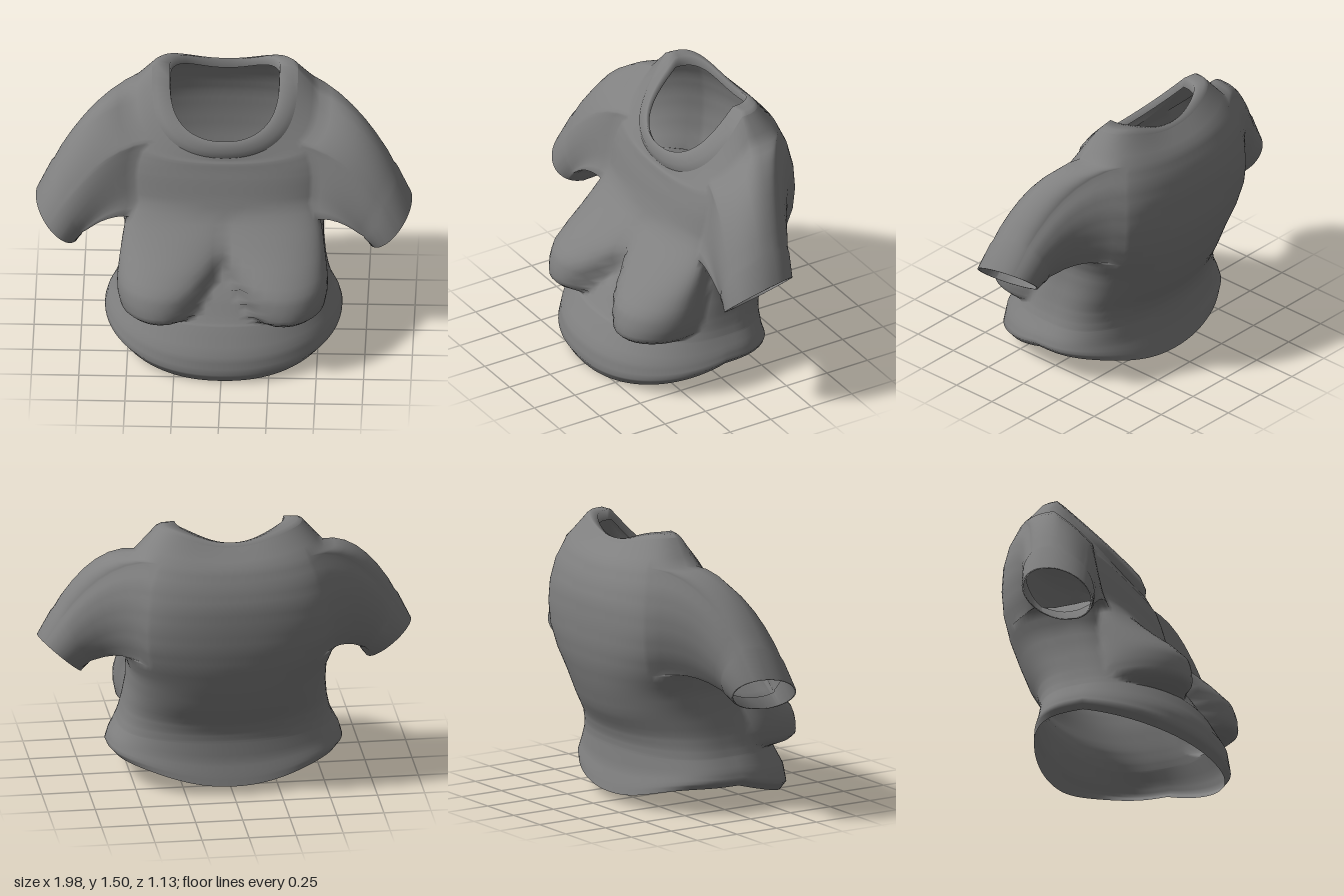
import * as THREE from 'three';
import { mergeGeometries, mergeVertices } from 'three/addons/utils/BufferGeometryUtils.js';

const N = 96;        // columns round the torso, column 0 at the front
const SIDE = N / 4;  // column at the left side
const SUB = 3;       // rows per profile step
const HOLE = { r0: 9 * SUB, r1: 14 * SUB, half: 10 }; // armhole, in rows and columns

// Grid surface through closed rows of points; flip reverses the corner order
function grid(rows, { skip = () => false, flip = false } = {}) {
  const n = rows[0].length, index = [];
  for (let r = 0; r < rows.length - 1; r++) {
    for (let c = 0; c < n; c++) {
      if (skip(r, c)) continue;
      const a = r * n + c, b = r * n + (c + 1) % n, d = a + n, e = b + n;
      if (flip) index.push(a, e, b, a, d, e);
      else index.push(a, b, e, a, e, d);
    }
  }
  const g = new THREE.BufferGeometry().setFromPoints(rows.flat());
  g.setIndex(index);
  return g;
}

function weld(parts) {
  const g = mergeVertices(mergeGeometries(parts), 1e-4);
  g.computeVertexNormals();
  return g;
}

const mirror = rows => rows.map(row => row.map(p => new THREE.Vector3(-p.x, p.y, p.z)));
const mix = (a, b, t) => a.map((v, i) => v + (b[i] - v) * t);

// Ring whose front, side and back each have their own height and depth
function ring([X, ySide, zSide, yFront, zFront, yBack, zBack, frontPower, backPower]) {
  return Array.from({ length: N }, (_, i) => {
    const a = i / N * Math.PI * 2, s = Math.sin(a), c = Math.cos(a);
    const k = Math.abs(c) < 1e-9 ? 0 : Math.abs(c), w = Math.abs(s) < 1e-9 ? 0 : Math.abs(s);
    const x = X * Math.sign(s) * Math.pow(w, 0.92);
    const f = Math.pow(k, frontPower);
    return c > 0
      ? new THREE.Vector3(x, ySide + (yFront - ySide) * f, zSide + (zFront - zSide) * f)
      : new THREE.Vector3(x, ySide + (yBack - ySide) * k ** 4, zSide + (zBack - zSide) * Math.pow(k, backPower));
  });
}

// half width, side y z, front y z, back y z, roundness of front and back
const torsoProfile = [
  [0.59, 0.145, 0.03, 0.00, 0.535, 0.05, -0.40, 1.0, 0.7],
  [0.625, 0.18, 0.04, 0.05, 0.565, 0.10, -0.39, 1.0, 0.7],
  [0.61, 0.23, 0.03, 0.15, 0.55, 0.18, -0.37, 1.0, 0.7],
  [0.575, 0.295, 0.02, 0.29, 0.47, 0.28, -0.365, 0.95, 0.7],
  [0.57, 0.305, 0.015, 0.305, 0.455, 0.30, -0.365, 0.9, 0.7],
  [0.555, 0.35, 0.01, 0.34, 0.43, 0.34, -0.37, 0.85, 0.7],
  [0.54, 0.42, 0.00, 0.41, 0.385, 0.40, -0.39, 0.80, 0.7],
  [0.525, 0.54, -0.03, 0.52, 0.30, 0.50, -0.45, 0.75, 0.65],
  [0.525, 0.66, -0.06, 0.64, 0.24, 0.63, -0.50, 0.70, 0.6],
  [0.56, 0.77, -0.08, 0.76, 0.19, 0.76, -0.54, 0.60, 0.55],
  [0.58, 0.88, -0.11, 0.88, 0.15, 0.88, -0.56, 0.52, 0.5],
  [0.585, 1.00, -0.13, 0.98, 0.125, 1.00, -0.565, 0.50, 0.48],
  [0.575, 1.12, -0.14, 1.03, 0.11, 1.12, -0.56, 0.52, 0.5],
  [0.55, 1.24, -0.16, 1.07, 0.10, 1.22, -0.535, 0.57, 0.55],
  [0.50, 1.345, -0.18, 1.085, 0.09, 1.32, -0.49, 0.60, 0.6],
  [0.385, 1.48, -0.20, 1.10, 0.085, 1.41, -0.40, 0.62, 0.7],
];

const collarProfile = [
  [0.385, 1.48, -0.20, 1.10, 0.085, 1.41, -0.40, 0.62, 0.7],
  [0.36, 1.495, -0.21, 1.14, 0.097, 1.43, -0.385, 0.62, 0.7],
  [0.29, 1.495, -0.20, 1.20, 0.08, 1.425, -0.37, 0.62, 0.75],
  [0.285, 1.44, -0.20, 1.17, 0.06, 1.38, -0.37, 0.62, 0.75],
];

// Left half of the bust: y, inner x, outer x, front z
const bustProfile = [
  [0.297, 0.16, 0.47, 0.44],
  [0.315, 0.13, 0.51, 0.50],
  [0.345, 0.105, 0.54, 0.53],
  [0.42, 0.075, 0.555, 0.522],
  [0.48, 0.05, 0.555, 0.505],
  [0.56, 0.00, 0.545, 0.43],
  [0.66, -0.09, 0.53, 0.315],
  [0.76, -0.18, 0.51, 0.21],
  [0.86, -0.20, 0.48, 0.13],
];

// Push a front point outwards, away from the body's axis, to the oval bust section at its height
function pushToBust(p, zAxis) {
  const i = bustProfile.findIndex((row, k) => k > 0 && p.y < row[0]);
  if (i < 0 || p.y < bustProfile[0][0] || p.z <= zAxis) return;
  const lo = bustProfile[i - 1], hi = bustProfile[i];
  const [, xi, xo, zf] = mix(lo, hi, (p.y - lo[0]) / (hi[0] - lo[0]));
  const w = (xo - xi) / 2, d = zf / 2;
  const dx = Math.abs(p.x) / w, dz = (p.z - zAxis) / d;
  const ox = -(xi + xo) / 2 / w, oz = (zAxis - d) / d;
  const a = dx * dx + dz * dz, b = dx * ox + dz * oz, q = b * b - a * (ox * ox + oz * oz - 1);
  if (q < 0) return;
  const t = Math.max(1, (-b + Math.sqrt(q)) / a);
  p.x *= t;
  p.z = zAxis + (p.z - zAxis) * t;
}

function torsoRows() {
  const rows = [];
  torsoProfile.forEach((profile, i) => {
    const next = torsoProfile[i + 1];
    for (let k = 0; k < (next ? SUB : 1); k++) {
      const p = next ? mix(profile, next, k / SUB) : profile;
      const row = ring(p);
      row.forEach(v => pushToBust(v, p[2]));
      rows.push(row);
    }
  });
  return rows;
}

// Left sleeve, swept from the edge of the armhole to the cuff
function sleeveRows(torso) {
  const { r0, r1, half } = HOLE, loop = [];
  const c0 = SIDE - half, c1 = SIDE + half;
  for (let c = SIDE; c > c0; c--) loop.push(torso[r1][c]);
  for (let r = r1; r > r0; r--) loop.push(torso[r][c0]);
  for (let c = c0; c < c1; c++) loop.push(torso[r0][c]);
  for (let r = r0; r < r1; r++) loop.push(torso[r][c1]);
  for (let c = c1; c > SIDE; c--) loop.push(torso[r1][c]);

  const yMid = 1.03, zMid = -0.17;
  const curves = loop.map(p => {
    const phi = Math.atan2(p.z - zMid, p.y - yMid), c = Math.cos(phi), s = Math.sin(phi);
    const q = new THREE.Vector3(0.875 + 0.115 * c, 0.70 + 0.105 * c - 0.035 * s, -0.01 * c + 0.192 * s);
    const mid = p.clone().add(q).multiplyScalar(0.5);
    mid.add(new THREE.Vector3(0.015 * c, 0.17 + 0.085 * c, 0.045 - 0.035 * s));
    return new THREE.QuadraticBezierCurve3(p, mid, q);
  });
  // distance along the sleeve, swelling; the last rings fold inside the cuff
  const steps = [[0, 1], [0.12, 1], [0.25, 1], [0.38, 1], [0.5, 1], [0.62, 1], [0.74, 1],
    [0.82, 0.98], [0.85, 1.01], [1, 1.01], [1, 0.95], [0.85, 0.92]];
  return steps.map(([t, k]) => {
    const pts = curves.map(curve => curve.getPoint(t));
    const mid = pts.reduce((m, p) => m.add(p), new THREE.Vector3()).divideScalar(pts.length);
    return pts.map(p => (k === 1 ? p : p.sub(mid).multiplyScalar(k).add(mid)));
  });
}

export function createModel() {
  const group = new THREE.Group();
  const cloth = new THREE.MeshStandardMaterial({ color: 0x808080, side: THREE.DoubleSide });
  cloth.name = 'grey cloth';
  const add = (name, geometry) => {
    const mesh = new THREE.Mesh(geometry, cloth);
    mesh.name = name;
    group.add(mesh);
  };

  // Torso with open armholes, welded to both sleeves
  const torso = torsoRows();
  const inHole = (r, c) => r >= HOLE.r0 && r < HOLE.r1 &&
    [SIDE, N - SIDE].some(m => c >= m - HOLE.half && c < m + HOLE.half);
  const sleeve = sleeveRows(torso);
  add('bodyAndSleeves', weld([
    grid(torso, { skip: inHole }),
    grid(sleeve),
    grid(mirror(sleeve), { flip: true }),
  ]));

  // Neck band
  add('collar', weld([grid(collarProfile.map(ring))]));

  return group;
}
